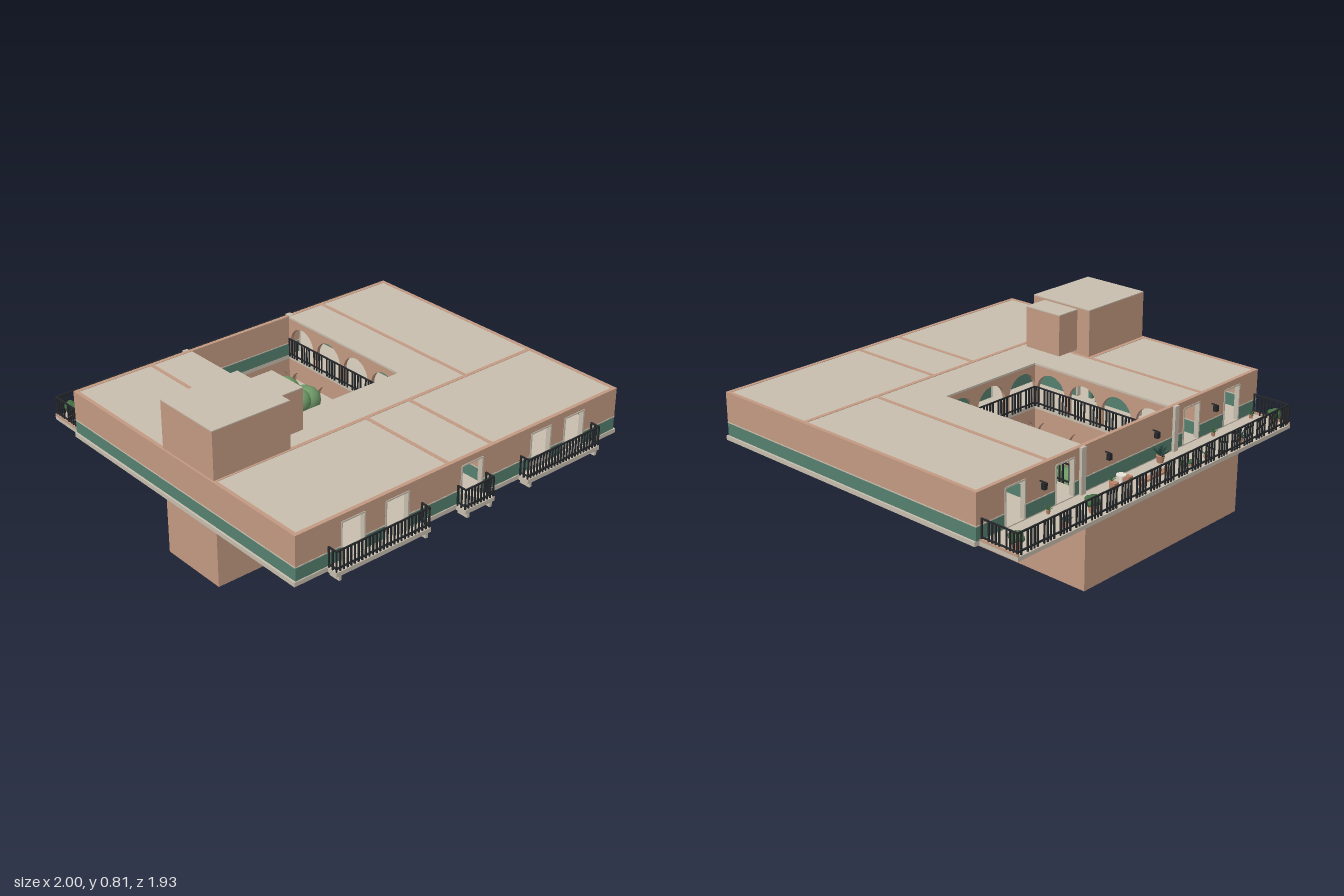
import * as THREE from 'three';
import { mergeGeometries } from 'three/addons/utils/BufferGeometryUtils.js';

const mat = (name, color) => {
  const m = new THREE.MeshStandardMaterial({ color });
  m.name = name;
  return m;
};

export function createModel() {
  const clay = mat('clay plaster', 0xc39a82);
  const stone = mat('pale stone', 0xc8beae);
  const teal = mat('teal dado', 0x55806f);
  const iron = mat('black iron', 0x24272a);
  const pot = mat('terracotta pot', 0xbd8468);
  const leaf = mat('leaf green', 0x6f9a68);
  const shrub = mat('shrub green', 0x466f45);
  const agave = mat('dark agave', 0x25463f);
  const white = mat('white paint', 0xe6e1d6);
  const bark = mat('bark', 0x6b4d38);

  const house = new THREE.Group();
  house.name = 'courtyardHouse';
  const group = (name, parent = house) => {
    const g = new THREE.Group();
    g.name = name;
    parent.add(g);
    return g;
  };
  const add = (name, geo, material, parent = house) => {
    const m = new THREE.Mesh(geo, material);
    m.name = name;
    parent.add(m);
    return m;
  };
  const boxGeo = (x0, x1, y0, y1, z0, z1) =>
    new THREE.BoxGeometry(x1 - x0, y1 - y0, z1 - z0)
      .translate((x0 + x1) / 2, (y0 + y1) / 2, (z0 + z1) / 2);
  const box = (name, x0, x1, y0, y1, z0, z1, m, p) => add(name, boxGeo(x0, x1, y0, y1, z0, z1), m, p);

  // Group whose local x runs from (x0,z0) to (x1,z1)
  const along = (name, x0, z0, x1, z1) => {
    const g = group(name);
    g.position.set(x0, 0, z0);
    g.rotation.y = -Math.atan2(z1 - z0, x1 - x0);
    return [g, Math.hypot(x1 - x0, z1 - z0)];
  };

  // Horizontal slab with the courtyard cut out
  const slab = (name, x0, x1, z0, z1, top, h, m) => {
    const rect = (C, a, b, c, d) => {
      const s = new C();
      s.moveTo(a, c); s.lineTo(b, c); s.lineTo(b, d); s.lineTo(a, d); s.closePath();
      return s;
    };
    const s = rect(THREE.Shape, x0, x1, z0, z1);
    s.holes.push(rect(THREE.Path, -0.31, 0.31, -0.73, 0.11));
    const g = new THREE.ExtrudeGeometry(s, { depth: h, bevelEnabled: false });
    return add(name, g.rotateX(Math.PI / 2).translate(0, top, 0), m);
  };

  // Upper-floor wall: teal dado, pale rail, plaster above; doors = [centre, width]
  const T = 0.01, FLOOR = 0.345, DADO = 0.41, TOP = 0.567, LINTEL = 0.53;
  const wall = (name, x0, z0, x1, z1, doors = []) => {
    const [g, len] = along(name, x0, z0, x1, z1);
    let a = 0;
    const solid = (b) => {
      box('dado', a, b, FLOOR, DADO, -T, T, teal, g);
      box('dadoRail', a, b, DADO, DADO + 0.005, -T - 0.002, T + 0.002, stone, g);
      box('plaster', a, b, DADO, TOP, -T, T, clay, g);
    };
    for (const [c, w] of doors) {
      const l = c - w / 2, r = c + w / 2;
      solid(l);
      box('lintel', l, r, LINTEL, TOP, -T, T, clay, g);
      for (const e of [l, r]) box('doorJamb', e - 0.004, e + 0.004, FLOOR, LINTEL, -T - 0.003, T + 0.003, stone, g);
      box('doorHead', l, r, LINTEL - 0.004, LINTEL + 0.004, -T - 0.003, T + 0.003, stone, g);
      a = r;
    }
    solid(len);
  };

  // Wall pierced by a row of n round arches
  const arcade = (name, x0, z0, x1, z1, y0, y1, spring, n) => {
    const [g, len] = along(name, x0, z0, x1, z1);
    const bay = len / n, r = bay / 2 - 0.014;
    const s = new THREE.Shape();
    s.moveTo(0, y0);
    for (let i = 0; i < n; i++) {
      const c = (i + 0.5) * bay;
      s.lineTo(c - r, y0);
      s.lineTo(c - r, y0 + spring);
      s.absarc(c, y0 + spring, r, Math.PI, 0, true);
      s.lineTo(c + r, y0);
    }
    s.lineTo(len, y0); s.lineTo(len, y1); s.lineTo(0, y1); s.closePath();
    add('arches', new THREE.ExtrudeGeometry(s, { depth: 0.02, bevelEnabled: false, curveSegments: 10 })
      .translate(0, 0, -0.01), clay, g);
  };

  // Iron railing; skip leaves a gap after every few bars
  const railing = (name, x0, z0, x1, z1, skip = 0) => {
    const [g, len] = along(name, x0, z0, x1, z1);
    const n = Math.max(2, Math.round(len / 0.02)), parts = [];
    for (const y of [0.355, 0.44]) parts.push(boxGeo(0, len, y, y + 0.006, -0.004, 0.004));
    for (let i = 0; i <= n; i++) {
      if (skip && i % skip === skip - 1 && i < n) continue;
      const x = (i / n) * len;
      parts.push(boxGeo(x - 0.0035, x + 0.0035, 0.34, 0.446, -0.0035, 0.0035));
    }
    add('bars', mergeGeometries(parts), iron, g);
  };

  // Floors and roof
  slab('upperFloor', -1, 1, -0.75, 0.91, FLOOR, 0.022, stone);
  slab('roof', -0.985, 0.985, -0.745, 0.9, 0.565, 0.01, stone);
  box('frontSoffit', -0.99, 0.99, 0.318, 0.323, 0.36, 0.9, clay);
  box('groundFloor', -0.545, 0.545, 0.02, 0.03, -0.955, 0.355, stone);
  box('terraceFloor', -0.975, 0.97, 0.32, 0.34, -0.967, -0.75, stone);
  for (const x of [-0.97, 0.965]) box('terraceCurb', x - 0.005, x + 0.005, 0.34, 0.35, -0.965, -0.75, clay);

  // Outer and inner upper walls
  wall('frontWall', -0.99, 0.895, 0.99, 0.895,
    [-0.675, -0.425, 0.025, 0.47, 0.695].map((x) => [x + 0.99, 0.13]));
  wall('terraceWall', -0.99, -0.74, 0.99, -0.74,
    [-0.78, -0.46, 0.44, 0.755].map((x) => [x + 0.99, 0.12]));
  for (const x of [-0.98, 0.98]) wall('sideWall', x, -0.75, x, 0.905);
  for (const x of [-0.55, 0.54]) wall('galleryWall', x, -0.73, x, 0.335, [[0.3, 0.12], [0.7, 0.12]]);
  wall('crossWall', -0.97, 0.345, 0.97, 0.345, [[0.68, 0.12], [1.25, 0.12]]);
  for (const x of [-0.11, 0.16]) wall('frontRoomWall', x, 0.355, x, 0.885);
  wall('sideRoomWall', -0.97, -0.04, -0.56, -0.04);
  for (const x of [-0.33, 0.33]) box('wallPier', x - 0.015, x + 0.015, 0.34, TOP, -0.765, -0.73, stone);

  // Ground-floor shell
  for (const x of [-0.55, 0.54]) box('lowerSideWall', x, x + 0.01, 0.02, 0.323, -0.965, 0.36, clay);
  for (const z of [-0.965, 0.35]) box('lowerEndWall', -0.54, 0.54, 0.02, 0.322, z, z + 0.01, clay);

  // Courtyard arcades on both floors
  for (const [level, y0, y1, spring] of [['upper', FLOOR, 0.555, 0.085], ['lower', 0.03, 0.323, 0.15]]) {
    for (const x of [-0.321, 0.321]) arcade(level + 'SideArcade', x, -0.73, x, 0.11, y0, y1, spring, 4);
    arcade(level + 'FrontArcade', -0.331, 0.121, 0.331, 0.121, y0, y1, spring, 3);
  }
  arcade('lowerBackArcade', -0.331, -0.741, 0.331, -0.741, 0.03, 0.323, 0.15, 3);
  for (const x of [-0.305, 0.305]) railing('galleryRailing', x, -0.72, x, 0.1, 5);
  railing('galleryRailing', -0.3, 0.105, 0.3, 0.105, 5);

  // Stair block below, roof rooms above
  box('stairBlock', -0.98, -0.69, 0.02, 0.322, -0.025, 0.35, clay);
  box('stairFloor', -0.975, -0.695, 0.018, 0.021, -0.02, 0.345, stone);
  box('stairStep', -0.71, -0.69, 0, 0.02, 0.17, 0.345, clay);
  box('roofRoom', -0.98, -0.555, 0.56, 0.807, -0.03, 0.345, clay);
  box('roofRoomTop', -0.98, -0.555, 0.807, 0.812, -0.03, 0.345, stone);
  box('tankRoom', -0.555, -0.42, 0.585, 0.795, 0.05, 0.27, clay);
  box('tankRoomTop', -0.555, -0.42, 0.795, 0.8, 0.05, 0.27, stone);

  // Front balconies
  for (const [a, b] of [[-0.82, -0.28], [-0.07, 0.115], [0.33, 0.82]]) {
    box('balconyFloor', a, b, 0.32, 0.342, 0.9, 0.967, stone);
    for (const x of [a + 0.022, b - 0.022]) box('balconyBracket', x - 0.007, x + 0.007, 0.296, 0.32, 0.905, 0.965, stone);
    railing('balconyRailing', a + 0.005, 0.96, b - 0.005, 0.96);
    for (const x of [a + 0.005, b - 0.005]) railing('balconyRailing', x, 0.912, x, 0.96);
  }

  // Terrace railing and lanterns
  railing('terraceRailing', -0.967, -0.958, 0.962, -0.958, 5);
  for (const x of [-0.967, 0.962]) railing('terraceRailing', x, -0.955, x, -0.755, 5);
  for (const x of [-0.62, -0.17, 0.17, 0.6]) {
    box('lantern', x - 0.01, x + 0.01, 0.46, 0.49, -0.785, -0.765, iron);
    box('lanternArm', x - 0.003, x + 0.003, 0.49, 0.495, -0.78, -0.75, iron);
  }

  // Potted plants
  const potted = (name, x, y, z, r) => {
    const g = group(name);
    g.position.set(x, y, z);
    add('pot', new THREE.CylinderGeometry(r * 0.6, r * 0.42, r, 10).translate(0, r / 2, 0), pot, g);
    return g;
  };
  const bush = (x, y, z, r) => {
    const g = potted('pottedBush', x, y, z, r);
    add('foliage', new THREE.IcosahedronGeometry(r * 0.75, 1), shrub, g).position.y = r * 1.6;
    for (let i = 0; i < 6; i++) {
      const a = (i / 6) * Math.PI * 2;
      add('foliage', new THREE.IcosahedronGeometry(r * 0.48, 1), shrub, g)
        .position.set(Math.cos(a) * r * 0.55, r * (1.4 + 0.3 * (i % 2)), Math.sin(a) * r * 0.55);
    }
  };
  const spiky = (x, y, z, r, m) => {
    const g = potted('spikyPlant', x, y, z, r * 0.6);
    for (let i = 0; i < 14; i++) {
      const blade = new THREE.ConeGeometry(r * 0.1, r, 4).translate(0, r / 2, 0);
      const b = add('blade', blade, m, g);
      b.position.y = r * 0.55;
      b.rotation.set(0, i * 2.4, 0.35 + 0.9 * ((i % 4) / 3), 'YXZ');
    }
  };
  for (const x of [-0.92, 0.44, 0.92]) bush(x, 0.34, -0.91, 0.036);
  for (const [x, z] of [[-0.24, -0.92], [-0.19, -0.92], [-0.205, -0.895]]) bush(x, 0.34, z, 0.015);
  for (const [x, z] of [[-0.26, -0.68], [-0.26, 0.06], [0.26, 0.06]]) bush(x, 0.03, z, 0.04);
  for (const [x, z, r] of [[-0.62, -0.92, 0.05], [0.63, -0.92, 0.05], [-0.18, -0.79, 0.06]]) spiky(x, 0.34, z, r, agave);
  for (const [x, z] of [[-0.36, -0.915], [-0.91, -0.78], [-0.6, -0.78], [0.16, -0.78], [0.58, -0.78]])
    spiky(x, 0.34, z, 0.03, shrub);
  potted('emptyPot', 0.2, 0.34, -0.92, 0.022);

  // Terrace bench, table and stools
  box('bench', -0.1, 0.1, 0.365, 0.375, -0.92, -0.89, pot);
  for (const x of [-0.085, 0.085]) box('benchLeg', x - 0.008, x + 0.008, 0.34, 0.365, -0.915, -0.895, pot);
  add('tableTop', new THREE.CylinderGeometry(0.024, 0.024, 0.006, 16), white).position.set(0.14, 0.39, -0.82);
  add('tableLeg', new THREE.CylinderGeometry(0.005, 0.012, 0.05, 8), white).position.set(0.14, 0.365, -0.82);
  for (const x of [0.092, 0.188]) box('stool', x - 0.016, x + 0.016, 0.34, 0.37, -0.836, -0.804, pot);

  // Courtyard tree
  const tree = group('courtyardTree');
  tree.position.set(0.14, 0.03, -0.5);
  add('trunk', new THREE.CylinderGeometry(0.014, 0.022, 0.18, 8).translate(0, 0.09, 0), bark, tree);
  add('crown', new THREE.SphereGeometry(0.075, 14, 10), leaf, tree).position.set(-0.01, 0.24, -0.04);
  for (let i = 0; i < 7; i++) {
    const a = (i / 7) * Math.PI * 2;
    add('crown', new THREE.SphereGeometry(0.062 + 0.008 * (i % 2), 14, 10), leaf, tree)
      .position.set(Math.cos(a) * 0.08, 0.19 + 0.02 * (i % 3), Math.sin(a) * 0.08);
  }
  return house;
}
